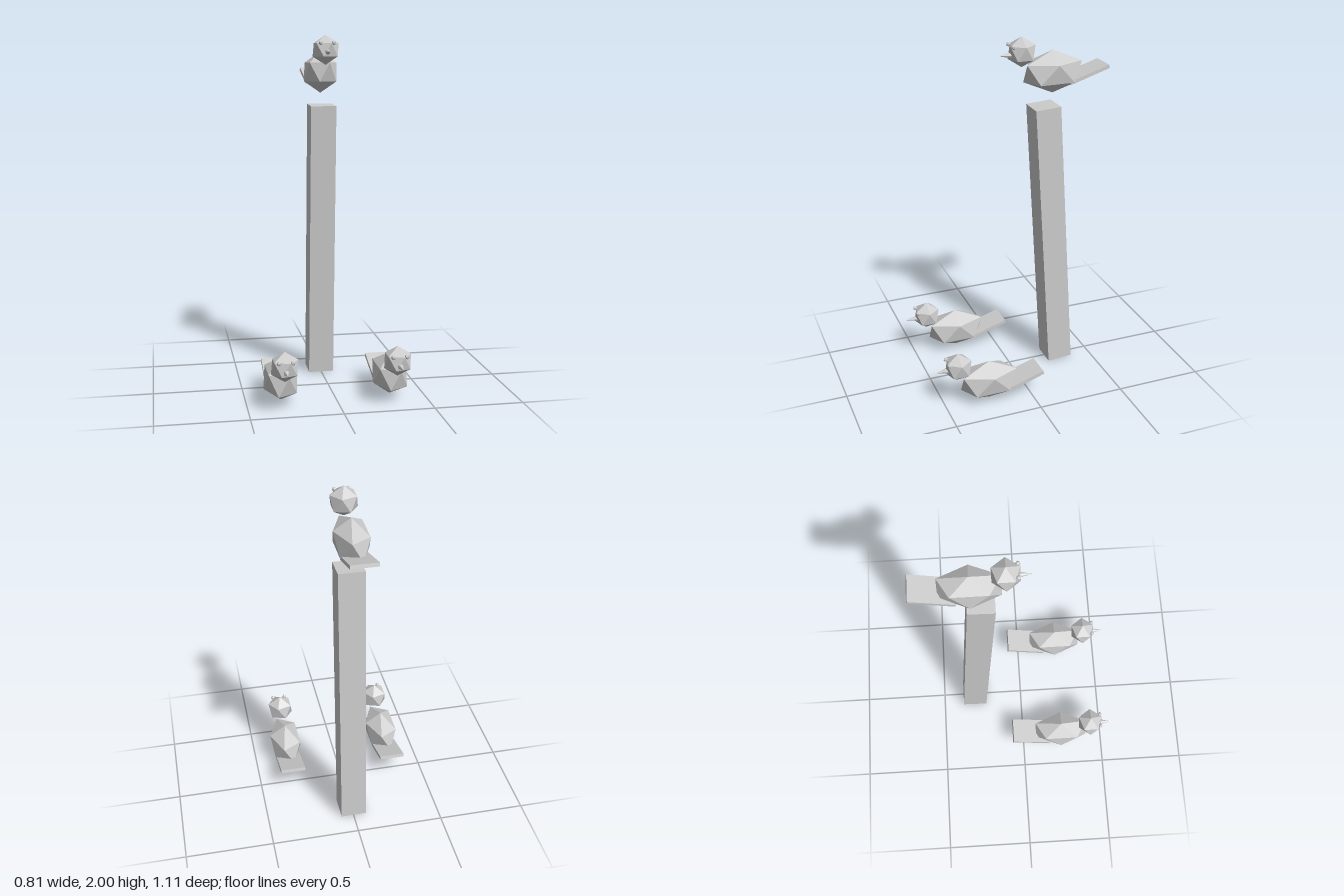
import * as THREE from 'three';

// Icosahedron with a corner at each pole and an upper ring corner on +x
function ico(radius) {
  const g = new THREE.IcosahedronGeometry(radius, 0);
  g.rotateZ(-Math.atan(2 / (1 + Math.sqrt(5))));
  return g;
}

export function createModel() {
  const grey = new THREE.MeshStandardMaterial({ color: 0xcccccc });
  grey.name = 'pale grey';
  grey.flatShading = true;
  const model = new THREE.Group();
  model.name = 'birdsAndPost';

  const add = (parent, name, geometry, x, y, z) => {
    const mesh = new THREE.Mesh(geometry, grey);
    mesh.name = name;
    mesh.position.set(x, y, z);
    parent.add(mesh);
    return mesh;
  };

  // Leaning post
  const post = add(model, 'post', new THREE.BoxGeometry(0.147, 1.604, 0.147), 0, 0.805, -0.253);
  post.rotation.x = 0.0625;

  // One bird, with its origin at the middle of the body
  function createBird(name, x, y, z) {
    const bird = new THREE.Group();
    bird.name = name;
    bird.position.set(x, y, z);

    add(bird, 'body', ico(1).scale(0.106, 0.119, 0.188), 0, 0, 0);
    add(bird, 'head', ico(0.083), 0, 0.124, 0.182);

    // Beak pointing forward
    const beak = new THREE.ConeGeometry(0.02, 0.083, 8).rotateX(Math.PI / 2);
    add(bird, 'beak', beak, 0, 0.112, 0.2705);

    for (const side of [-1, 1]) {
      add(bird, side > 0 ? 'leftEye' : 'rightEye', ico(0.0135), side * 0.037, 0.162, 0.242);
    }

    // Flat tail tilted up toward the back
    const tail = add(bird, 'tail', new THREE.BoxGeometry(0.147, 0.02, 0.245), 0, -0.021, -0.189);
    tail.rotation.x = 0.307;
    model.add(bird);
  }

  createBird('topBird', 0, 1.793, -0.253);
  createBird('leftBird', 0.308, 0.128, 0.24);
  createBird('rightBird', -0.308, 0.128, 0.24);
  return model;
}
